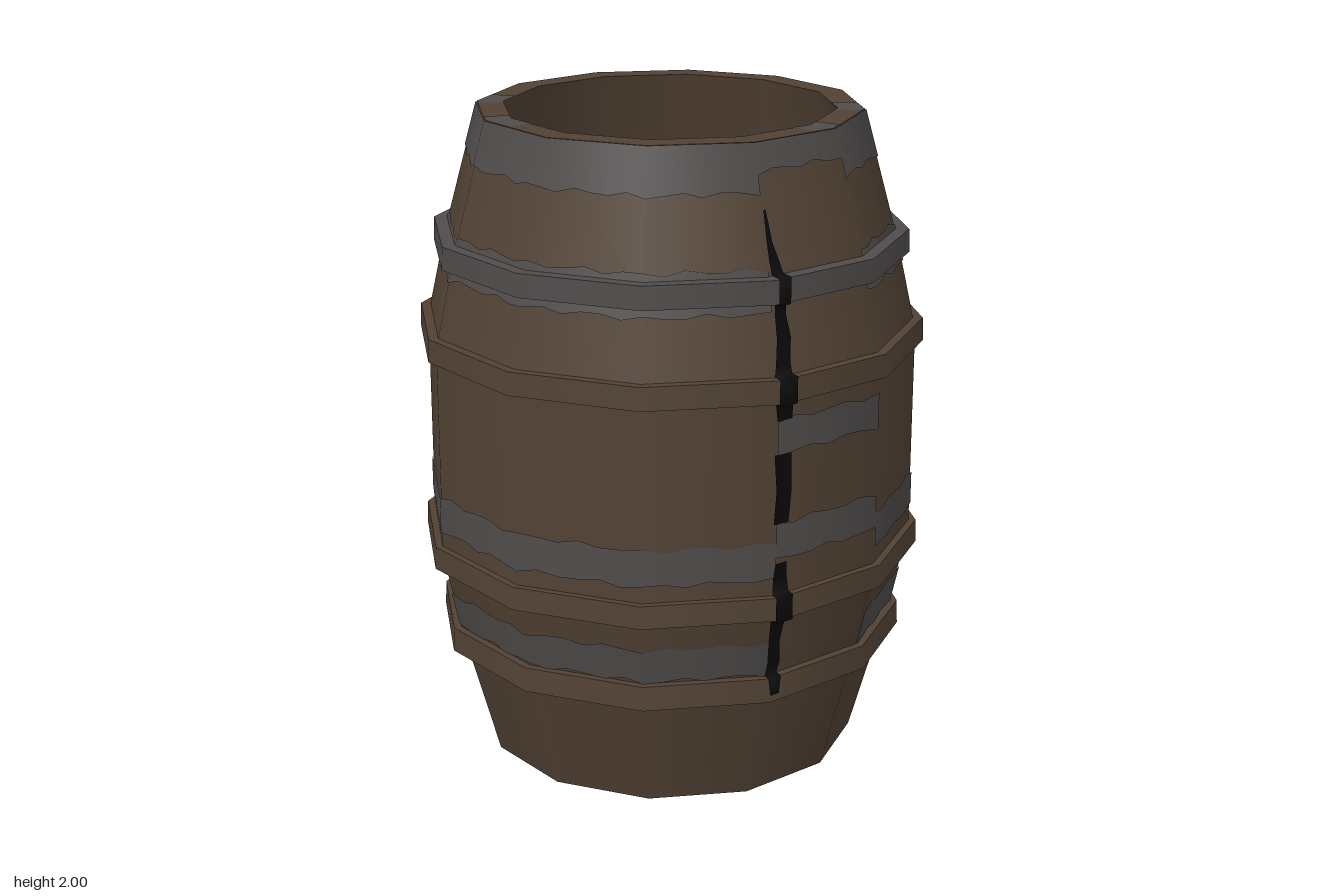
import * as THREE from 'three';
import { mergeGeometries } from 'three/addons/utils/BufferGeometryUtils.js';

const SIDES = 12;
const DEG = Math.PI / 180;
const material = (name, color) => {
  const m = new THREE.MeshStandardMaterial({ color });
  m.name = name;
  return m;
};

// Outer stave profile as [radius, height], and the inside following it
const PROFILE = [[0.58, 0], [0.69, 0.4], [0.75, 0.68], [0.75, 1.33], [0.69, 1.6], [0.58, 2]];
const THICKNESS = 0.08;
const INNER = PROFILE.map(([r, y]) => [r - THICKNESS, y]).reverse();

// Hoops as [bottom, top, radius]
const HOOPS = [[0.36, 0.435, 0.725], [0.64, 0.71, 0.775], [1.295, 1.365, 0.775], [1.57, 1.64, 0.725]];

function bodyRadius(y) {
  for (let i = 1; i < PROFILE.length; i++) {
    const [r0, y0] = PROFILE[i - 1], [r1, y1] = PROFILE[i];
    if (y <= y1) return r0 + (r1 - r0) * (y - y0) / (y1 - y0);
  }
  return 0.58;
}

// Twelve-sided lathe, smooth around and sharp between profile segments
function ring(points, start = 0, segments = SIDES) {
  const parts = [];
  for (let i = 1; i < points.length; i++) {
    const pair = [points[i - 1], points[i]].map(p => new THREE.Vector2(...p));
    parts.push(new THREE.LatheGeometry(pair, segments, start * DEG, segments * 30 * DEG));
  }
  return mergeGeometries(parts);
}

// Thin painted sheet lying on the twelve-sided wall; rows hold [angle, radius, y]
function sheet(rows) {
  const pos = [], nor = [], idx = [], n = rows[0].length;
  rows.forEach((row, j) => row.forEach(([a, r, y], i) => {
    const flat = Math.cos(15 * DEG) / Math.cos(((a + 720) % 30 - 15) * DEG);
    const s = Math.sin(a * DEG), c = Math.cos(a * DEG);
    pos.push(r * flat * s, y, r * flat * c);
    const lo = rows[Math.max(j - 1, 0)][i], hi = rows[Math.min(j + 1, rows.length - 1)][i];
    const v = new THREE.Vector3((hi[2] - lo[2]) * s, lo[1] - hi[1], (hi[2] - lo[2]) * c).normalize();
    nor.push(v.x, v.y, v.z);
    if (i < n - 1 && j < rows.length - 1) {
      const k = j * n + i;
      idx.push(k, k + 1, k + n, k + 1, k + n + 1, k + n);
    }
  }));
  const g = new THREE.BufferGeometry();
  g.setAttribute('position', new THREE.Float32BufferAttribute(pos, 3));
  g.setAttribute('normal', new THREE.Float32BufferAttribute(nor, 3));
  g.setIndex(idx);
  return g;
}

// Worn band with uneven edges
function band(a0, a1, y0, y1) {
  const n = Math.round((a1 - a0) / 5);
  const rows = [y0, y1].map((edge, j) => Array.from({ length: n + 1 }, (_, i) => {
    const a = a0 + (a1 - a0) * i / n;
    const y = edge >= 2 ? 2 : edge + 0.008 * Math.sin(i * 2.3 + j * 1.7 + y0 * 9);
    return [a, bodyRadius(y) + 0.004, y];
  }));
  return sheet(rows);
}

// Ragged crack at one corner of the barrel; points hold [y, first angle, last angle, radius]
function crack(corner, points) {
  return sheet(points.map(([y, a, b, r = bodyRadius(y)]) =>
    [a, Math.min(Math.max(corner, a), b), b].map(t => [t, r + 0.006, y])));
}

// Crack rows that step out over a hoop and back
function overHoop([y0, y1, r], a, b) {
  const low = y0 - 0.004, high = y1 + 0.004;
  return [[low, a, b], [low, a, b, r], [high, a, b, r], [high, a, b]];
}

export function createModel() {
  const barrel = new THREE.Group();
  barrel.name = 'barrel';
  const wood = material('brown wood', 0x524234);
  const worn = material('grey worn wood', 0x4f4c4b);
  const black = material('black', 0x080808);
  const add = (name, geometry, mat) => {
    const mesh = new THREE.Mesh(geometry, mat);
    mesh.name = name;
    barrel.add(mesh);
  };

  // Staves, top rim, and the hollow inside with one dark stave
  const under = [[0.5, 0], [0.58, 0]];
  add('staves', ring(PROFILE), wood);
  add('topRim', ring([[0.58, 2], [0.5, 2]]), wood);
  add('innerWall', ring(INNER, 300, 11), wood);
  add('innerWallDark', ring(INNER, 270, 1), black);
  add('bottomRim', ring(under, 300, 11), wood);
  add('bottomRimDark', ring(under, 270, 1), black);
  add('bottomRimDarkEdge', ring([[0.56, -0.001], [0.58, -0.001]], 240, 1), black);
  add('innerFloor', ring([[0.507, 0.02], [0, 0.02]]), wood);
  add('bottomDisc', ring([[0, 0], [0.5, 0]]), wood);

  // Hoops, the highest one grey
  HOOPS.forEach(([y0, y1, r], i) => {
    const section = [[r - 0.07, y0], [r, y0], [r - 0.003, y1], [r - 0.07, y1]];
    add(`hoop${i + 1}`, ring(section), i === 3 ? worn : wood);
  });

  // Worn bands: most of the way round, then the shifted panel beside the crack
  const bands = [
    [60, 390, 0.44, 0.55], [60, 390, 0.76, 0.87], [60, 390, 1.54, 1.66], [60, 390, 1.865, 2],
    [30, 60, 0.82, 0.93], [30, 60, 1.14, 1.24], [30, 60, 1.92, 2],
  ];
  bands.forEach(b => add('wornBand', band(...b), worn));

  // Worn spots on the rim
  for (const [a, b] of [[87, 100], [52, 65], [260, 273], [295, 312]]) {
    const angles = [a, Math.round((a + b) / 60) * 30, b];
    add('rimSpot', sheet([0.578, 0.5].map(r => angles.map(t => [t, r, 2.001]))), worn);
  }

  // Worn spot on the inside wall
  add('innerSpot', sheet([1.565, 1.515].map(y =>
    [14, 26].map(t => [t, bodyRadius(y) - THICKNESS - 0.004, y]))), worn);

  // Long crack in three stretches, stepping over the hoops
  add('crackLower', crack(30, [[0.385, 30, 32.5, 0.725], [0.439, 29.5, 33, 0.725], [0.439, 29.5, 33],
    [0.48, 29.8, 33.5], [0.55, 29.5, 32.6], [0.6, 29.4, 33], ...overHoop(HOOPS[1], 29.3, 33.6),
    [0.76, 29.3, 33], [0.81, 29.8, 32.8]]), black);
  add('crackMiddle', crack(30, [[0.93, 29.3, 33.2], [1.03, 29.8, 34], [1.14, 29.3, 33.8]]), black);
  add('crackUpper', crack(30, [[1.24, 29.8, 33.8], ...overHoop(HOOPS[2], 29.4, 34), [1.4, 29.8, 33.8],
    [1.47, 30.6, 34.6], [1.53, 30.6, 33.8], ...overHoop(HOOPS[3], 30.8, 34.2),
    [1.68, 30.5, 33.4], [1.73, 30.3, 32], [1.82, 30.3, 31]]), black);

  // Small crack at the back
  add('backCrack', crack(240, [[0.67, 239, 240.5, 0.775], [0.714, 239.5, 241.5, 0.775],
    [0.714, 239.5, 241.5], [0.75, 240.5, 242]]), black);

  return barrel;
}
